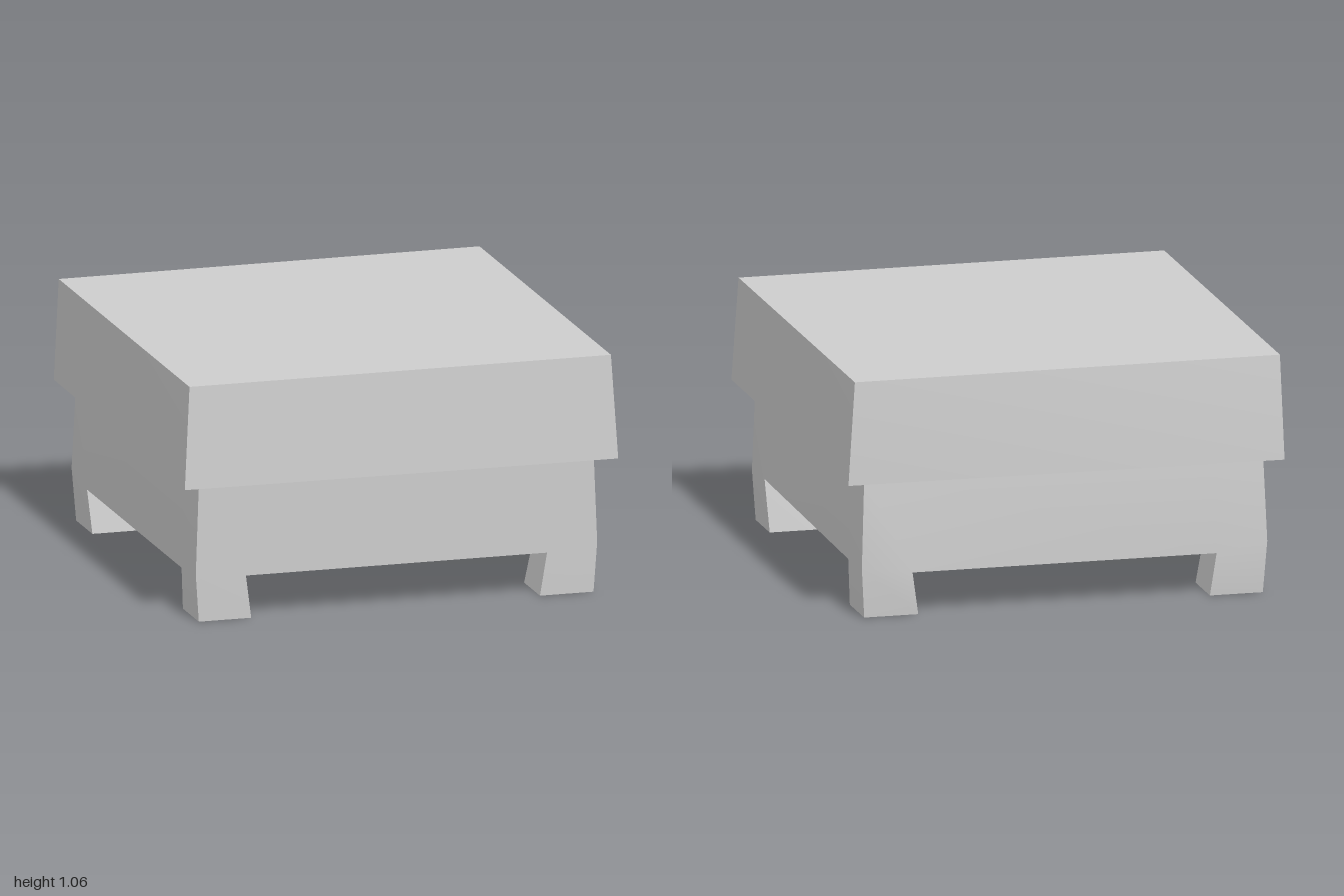
import * as THREE from 'three';
import { toCreasedNormals } from 'three/addons/utils/BufferGeometryUtils.js';

// Collects quads (corners counter-clockwise from outside) into one creased geometry
function quadBuilder() {
  const pos = [];
  const quad = (a, b, c, d) => pos.push(...a, ...b, ...c, ...a, ...c, ...d);
  return {
    quad,
    // walls between a lower and an upper ring, both running from back -x towards +x
    walls(low, high) {
      low.forEach((p, k) => {
        const n = (k + 1) % low.length;
        quad(p, high[k], high[n], low[n]);
      });
    },
    build() {
      const g = new THREE.BufferGeometry();
      g.setAttribute('position', new THREE.Float32BufferAttribute(pos, 3));
      return toCreasedNormals(g, 0.5);
    },
  };
}

// Slightly skewed lid that narrows towards the top
function lidGeometry() {
  const q = quadBuilder();
  const low = [[-0.96, 0.605, -1], [0.97, 0.605, -0.975], [0.965, 0.605, 0.995], [-0.98, 0.612, 1]];
  const top = [[-0.95, 1.06, -0.96], [0.94, 1.06, -0.97], [0.94, 1.06, 0.97], [-0.95, 1.06, 0.97]];
  q.walls(low, top);
  q.quad(...low);
  q.quad(top[3], top[2], top[1], top[0]);
  return q.build();
}

// Box body on a 4 x 4 grid, with a foot pulled down from each corner cell
function bodyGeometry() {
  const q = quadBuilder();
  // grid lines at the feet, the underside and under the lid
  const xs = [[-0.89, -0.655, 0.64, 0.88], [-0.905, -0.68, 0.67, 0.895], [-0.893, -0.67, 0.66, 0.878]];
  const zs = [[-0.9, -0.66, 0.675, 0.91], [-0.918, -0.69, 0.705, 0.915], [-0.892, -0.68, 0.69, 0.92]];
  // underside heights, back row first; it rises a little at the +x edge
  const under = [
    [0.23, 0.19, 0.19, 0.22],
    [0.19, 0.19, 0.19, 0.21],
    [0.19, 0.19, 0.19, 0.23],
    [0.21, 0.19, 0.19, 0.22],
  ];
  const p = (level, i, j) => [xs[level][i], [0, under[j][i], 0.61][level], zs[level][j]];
  const cell = (level, i, j) => [p(level, i, j), p(level, i + 1, j), p(level, i + 1, j + 1), p(level, i, j + 1)];

  // outer walls
  const rim = [[0, 0], [1, 0], [2, 0], [3, 0], [3, 1], [3, 2], [3, 3], [2, 3], [1, 3], [0, 3], [0, 2], [0, 1]];
  q.walls(rim.map(([i, j]) => p(1, i, j)), rim.map(([i, j]) => p(2, i, j)));

  // underside and feet
  for (let i = 0; i < 3; i++) {
    for (let j = 0; j < 3; j++) {
      const isFoot = i !== 1 && j !== 1;
      if (isFoot) q.walls(cell(0, i, j), cell(1, i, j));
      q.quad(...cell(isFoot ? 0 : 1, i, j));
    }
  }
  return q.build();
}

export function createModel() {
  const group = new THREE.Group();
  group.name = 'footedBox';
  const grey = new THREE.MeshStandardMaterial({ color: 0xcccccc });
  grey.name = 'light grey';

  const lid = new THREE.Mesh(lidGeometry(), grey);
  lid.name = 'lid';
  const body = new THREE.Mesh(bodyGeometry(), grey);
  body.name = 'bodyWithFeet';
  group.add(lid, body);
  return group;
}
